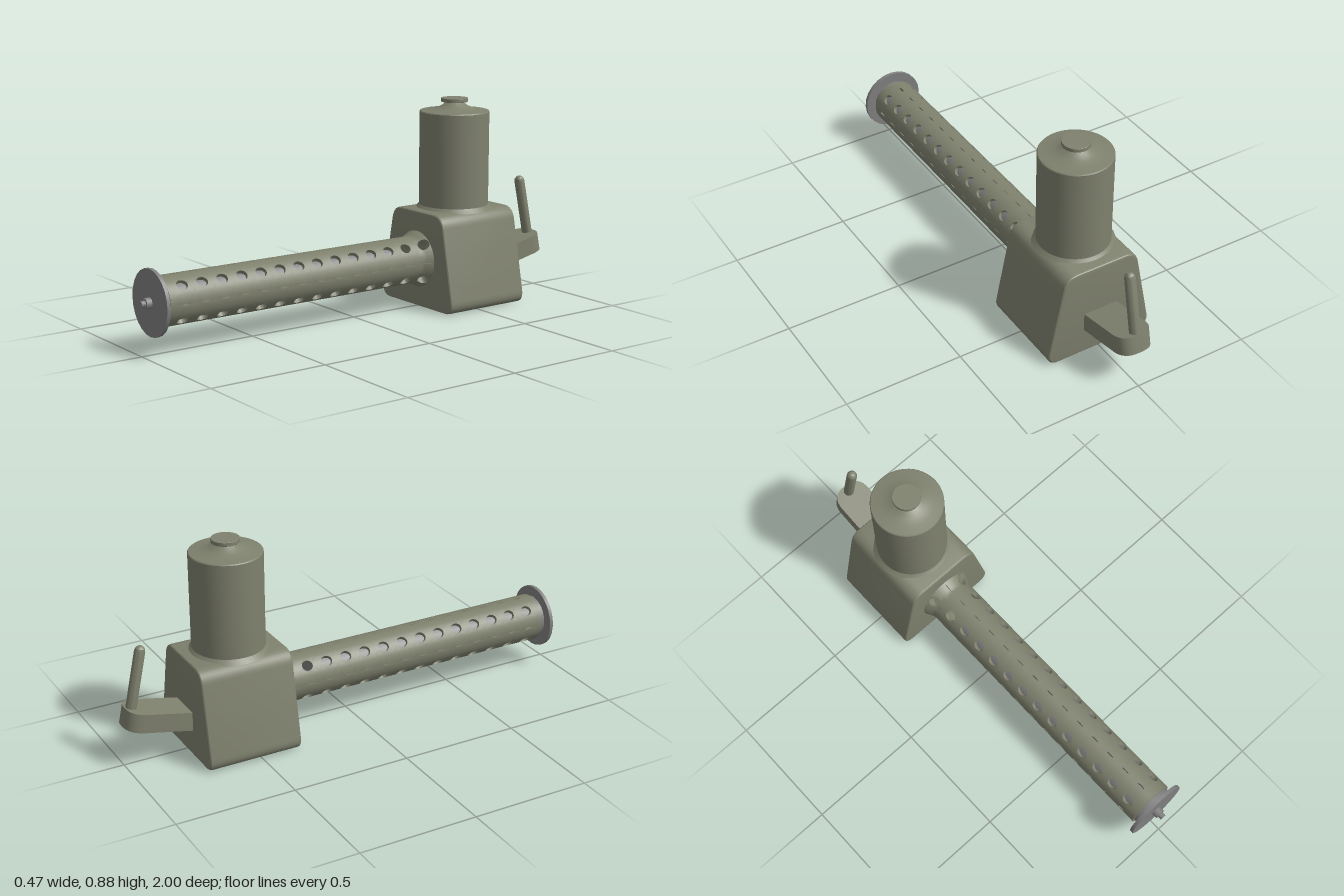
import * as THREE from 'three';
import { mergeGeometries, toCreasedNormals } from 'three/addons/utils/BufferGeometryUtils.js';
import { ParametricGeometry } from 'three/addons/geometries/ParametricGeometry.js';

const olive = new THREE.MeshStandardMaterial({ color: 0x7f816e, side: THREE.DoubleSide });
const grey = new THREE.MeshStandardMaterial({ color: 0x808080 });
const AXIS_Y = 0.205; // height of the barrel axis

function add(parent, name, geometry, material, x = 0, y = 0, z = 0) {
  const mesh = new THREE.Mesh(geometry, material);
  mesh.name = name;
  mesh.position.set(x, y, z);
  parent.add(mesh);
  return mesh;
}

// Cylinder lying along z between z0 and z1
function rod(r, z0, z1, sides = 32, open = false) {
  return new THREE.CylinderGeometry(r, r, z1 - z0, sides, 1, open).rotateX(Math.PI / 2).translate(0, 0, (z0 + z1) / 2);
}

// Polygon with every corner rounded; r lists one radius per corner
function roundedShape(corners, radii) {
  const pts = corners.map(([x, y]) => new THREE.Vector2(x, y));
  const shape = new THREE.Shape();
  pts.forEach((p, i) => {
    const toward = (q) => p.clone().add(q.clone().sub(p).setLength(radii[i]));
    const a = toward(pts[(i + pts.length - 1) % pts.length]);
    const b = toward(pts[(i + 1) % pts.length]);
    if (i === 0) shape.moveTo(a.x, a.y);
    else shape.lineTo(a.x, a.y);
    if (radii[i] > 0) shape.quadraticCurveTo(p.x, p.y, b.x, b.y);
  });
  shape.closePath();
  return shape;
}

// Lathe with hard edges kept sharp
function lathe(points, sides = 48) {
  const g = new THREE.LatheGeometry(points.map(([r, y]) => new THREE.Vector2(r, y)), sides);
  return toCreasedNormals(g, 0.4);
}

// One patch of the jacket: a rectangle around a hole, wrapped on the tube
function jacketCell(angle, zc, halfAngle, halfZ, holeArc, holeZ) {
  const R = 0.1;
  return new ParametricGeometry((u, v, target) => {
    const t = -u * Math.PI * 2;
    const c = Math.cos(t), s = Math.sin(t);
    const m = Math.max(Math.abs(c), Math.abs(s));
    const k = Math.max(0, (v - 0.25) / 0.75);
    const a = angle + THREE.MathUtils.lerp((c * holeArc) / R, (c / m) * halfAngle, k);
    const z = zc + THREE.MathUtils.lerp(s * holeZ, (s / m) * halfZ, k);
    const flare = 0.02 * Math.max(0, (-0.29 - z) / 0.04);
    const r = v < 0.1 ? 0.085 : R + flare;
    target.set(r * Math.cos(a), r * Math.sin(a), z);
  }, 24, 4);
}

function perforatedJacket() {
  const cells = [];
  const pitch = 0.0895;
  for (let i = 0; i < 14; i++) {
    for (let k = 0; k < 8; k++) {
      const round = k % 2 === 1;
      const slit = i === 13 ? 0.005 : 0.0012 + 0.00015 * i;
      cells.push(jacketCell((k * Math.PI) / 4, -0.305 + i * pitch, Math.PI / 8, pitch / 2,
        round ? 0.022 : slit, round ? 0.024 : 0.018));
    }
  }
  return toCreasedNormals(mergeGeometries(cells), 0.6);
}

export function createModel() {
  const model = new THREE.Group();
  model.name = 'model';

  // Tapered housing with rounded edges
  const bevel = 0.01;
  const profile = roundedShape(
    [[-0.232, 0.01], [0.232, 0.01], [0.154, 0.4], [-0.154, 0.4]],
    [0.045, 0.045, 0.045, 0.045]);
  const housing = new THREE.ExtrudeGeometry(profile, {
    depth: 0.4 - 2 * bevel, bevelThickness: bevel, bevelSize: bevel, bevelSegments: 3, curveSegments: 8,
  });
  add(model, 'housing', toCreasedNormals(housing, 0.5), olive, 0, 0, -0.73 + bevel);

  // Canister on top, with a flared foot, sloping shoulder and cap
  add(model, 'canister', lathe([
    [0, 0.403], [0.166, 0.403], [0.151, 0.418], [0.148, 0.422], [0.148, 0.818], [0.145, 0.822],
    [0.11, 0.826], [0.08, 0.832], [0.055, 0.843], [0.036, 0.858], [0.036, 0.862],
  ]), olive, 0, 0, -0.53);
  add(model, 'canisterCap', lathe([
    [0, 0.859], [0.056, 0.859], [0.057, 0.86], [0.057, 0.874], [0.056, 0.875], [0, 0.875],
  ], 32), olive, 0, 0, -0.53);

  // Barrel: perforated jacket around a core, closed by a disc and pin
  const barrel = new THREE.Group();
  barrel.name = 'barrel';
  barrel.position.y = AXIS_Y;
  model.add(barrel);
  add(barrel, 'jacket', perforatedJacket(), olive);
  add(barrel, 'jacketEnd', rod(0.1, 0.903, 0.925, 48), olive);
  add(barrel, 'core', rod(0.08, -0.17, 0.92), grey);
  add(barrel, 'endRing', rod(0.09, 0.92, 0.946), grey);
  add(barrel, 'endDisc', rod(0.134, 0.945, 0.96, 24), grey);
  add(barrel, 'pinBase', rod(0.022, 0.96, 0.983, 16), grey);
  add(barrel, 'pinTip', rod(0.013, 0.983, 1, 16), grey);

  // Crank: tilted arm with a rounded end and an upright grip
  const crank = new THREE.Group();
  crank.name = 'crank';
  crank.position.set(0, 0.115, -0.72);
  crank.rotation.x = THREE.MathUtils.degToRad(12);
  model.add(crank);
  const armShape = roundedShape(
    [[-0.075, -0.03], [0.075, -0.03], [0.075, 0.286], [-0.075, 0.286]],
    [0, 0, 0.07, 0.07]);
  const arm = new THREE.ExtrudeGeometry(armShape, { depth: 0.078, bevelEnabled: false, curveSegments: 8 });
  arm.rotateX(-Math.PI / 2);
  add(crank, 'crankArm', toCreasedNormals(arm, 0.5), olive);
  add(crank, 'crankGrip', lathe([
    [0.022, 0.07], [0.022, 0.315], [0.019, 0.328], [0.011, 0.337], [0, 0.34],
  ], 24), olive, 0, 0, -0.258);

  return model;
}
